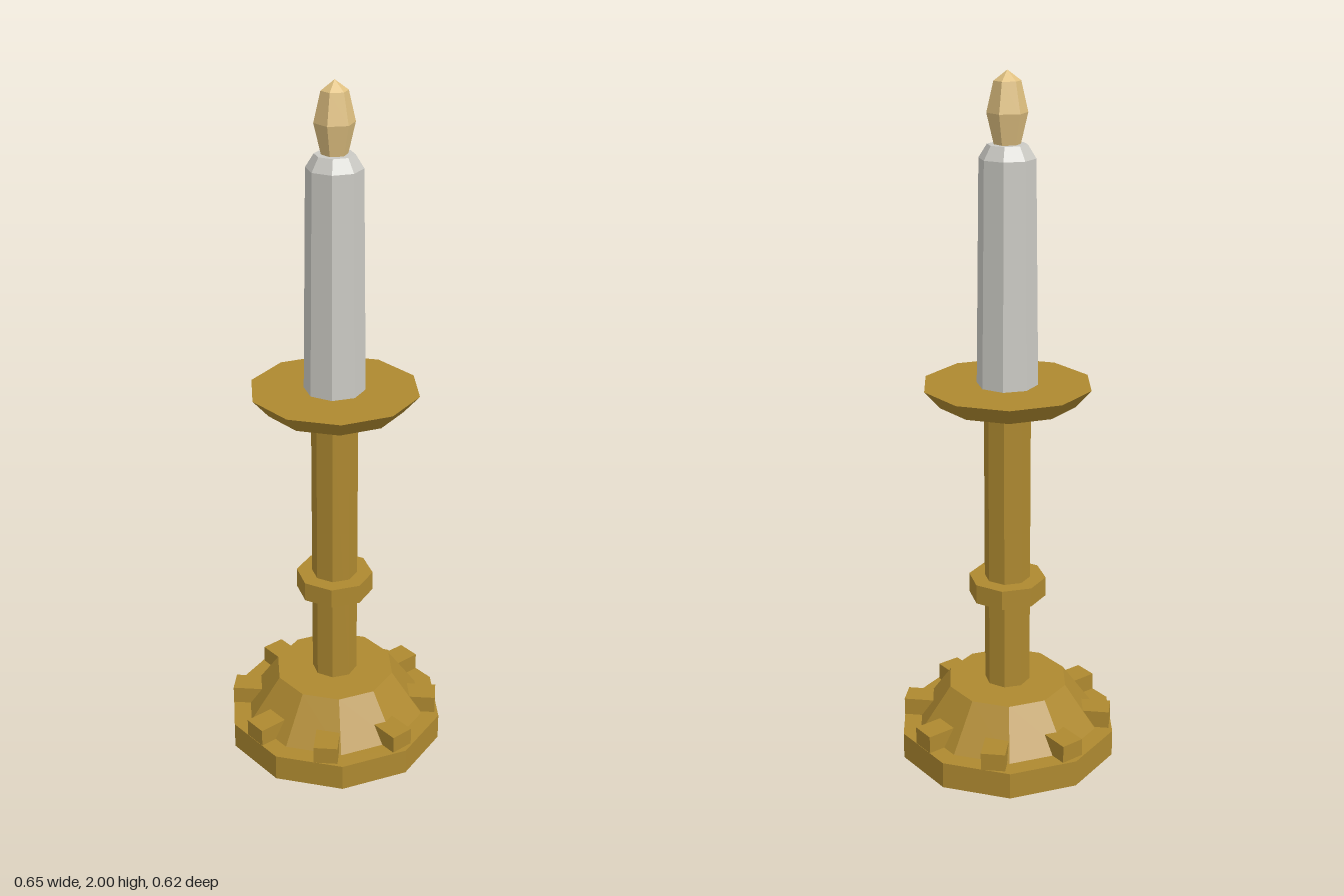
import * as THREE from 'three';

export function createModel() {
  const model = new THREE.Group();
  model.name = 'candlestick';

  const material = (name, color) => {
    const m = new THREE.MeshStandardMaterial({ color, flatShading: true });
    m.name = name;
    return m;
  };
  const brass = material('brass', 0xae8930);
  const wax = material('wax', 0xcbcac4);
  const glow = material('flame', 0xdfc080);

  const add = (name, geometry, mat) => {
    const mesh = new THREE.Mesh(geometry, mat);
    mesh.name = name;
    model.add(mesh);
    return mesh;
  };

  // Faceted turned part with a corner on +x; profile is [radius, height] from bottom to top
  const turned = (name, sides, profile, mat) => {
    const points = profile.map(([r, y]) => new THREE.Vector2(r, y));
    return add(name, new THREE.LatheGeometry(points, sides, Math.PI / 2).toNonIndexed(), mat);
  };

  // Stepped ten-sided foot
  turned('foot', 10, [[0, 0], [0.327, 0], [0.327, 0.08], [0.273, 0.08], [0.18, 0.212], [0, 0.212]], brass);

  // Eight studs around the foot
  for (let i = 0; i < 8; i++) {
    const angle = (i * Math.PI) / 4;
    const stud = add('stud', new THREE.BoxGeometry(0.07, 0.055, 0.1), brass);
    stud.position.set(Math.sin(angle) * 0.26, 0.105, Math.cos(angle) * 0.26);
    stud.rotation.y = angle;
  }

  // Stem, collar and drip pan
  turned('stem', 8, [[0.067, 0.21], [0.067, 1.1]], brass);
  turned('collar', 8, [[0, 0.49], [0.113, 0.49], [0.113, 0.548], [0, 0.548]], brass);
  turned('dripPan', 10, [[0, 1.088], [0.197, 1.088], [0.243, 1.14], [0, 1.14]], brass);

  // Candle and flame
  turned('candle', 8, [[0.087, 1.138], [0.078, 1.77], [0.055, 1.807], [0, 1.807]], wax);
  turned('flame', 6, [[0, 1.805], [0.036, 1.805], [0.056, 1.89], [0.037, 1.972], [0, 2]], glow);

  return model;
}
